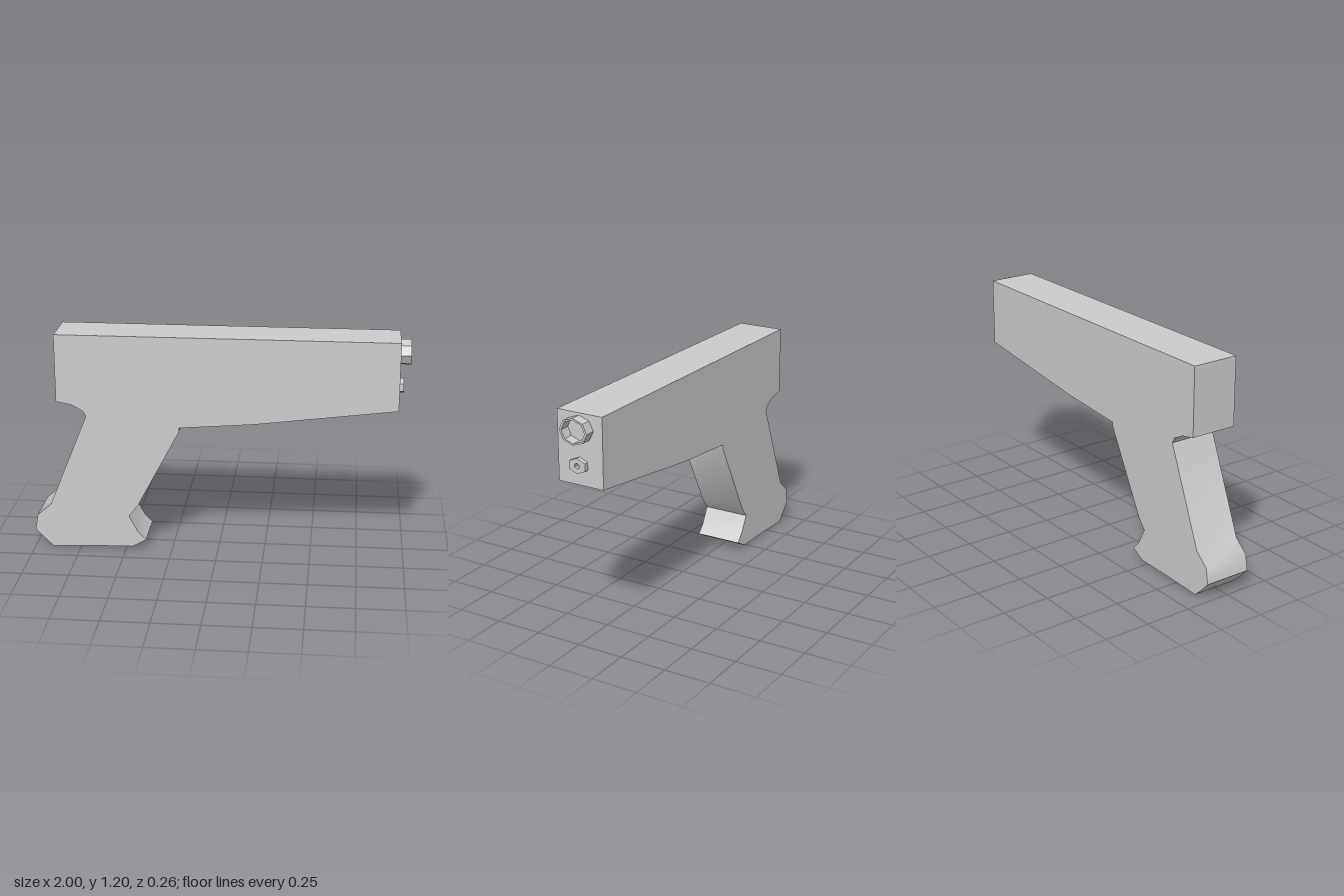
import * as THREE from 'three';
import { toCreasedNormals } from 'three/addons/utils/BufferGeometryUtils.js';

const DEPTH = 0.258;

// Side outline of the frame and grip, clockwise from the top rear corner
const OUTLINE = [
  [-0.86, 1.2], [0.945, 1.2], [0.945, 0.833], [0.19, 0.737], [-0.205, 0.705], [-0.205, 0.683],
  [-0.435, 0.25], [-0.483, 0.19], [-0.435, 0.1], [-0.392, 0.053], [-0.467, 0.012],
  [-0.69, 0.008], [-0.905, 0], [-0.953, 0.045], [-1, 0.096], [-0.985, 0.18], [-0.91, 0.245],
  [-0.702, 0.755], [-0.718, 0.785], [-0.78, 0.817], [-0.86, 0.833],
];

const polygon = (sides, rz, ry) => Array.from({ length: sides }, (_, i) => {
  const a = Math.PI / 2 + (i / sides) * Math.PI * 2;
  return new THREE.Vector2(Math.cos(a) * rz, Math.sin(a) * ry);
});

// Faceted hollow ring standing out of the front end along +x
function makeRing(name, sides, outer, inner, length, y, z, material) {
  const shape = new THREE.Shape(polygon(sides, ...outer));
  shape.holes.push(new THREE.Path(polygon(sides, ...inner)));
  const geometry = new THREE.ExtrudeGeometry(shape, { depth: length, bevelEnabled: false });
  geometry.rotateY(Math.PI / 2);
  const ring = new THREE.Mesh(geometry, material);
  ring.name = name;
  ring.position.set(0.945, y, z);
  return ring;
}

export function createModel() {
  const group = new THREE.Group();
  group.name = 'pistol';
  const material = new THREE.MeshStandardMaterial({ color: 0xcccccc });

  // Slab body with raked grip
  const shape = new THREE.Shape(OUTLINE.map(([x, y]) => new THREE.Vector2(x, y)));
  const slab = new THREE.ExtrudeGeometry(shape, { depth: DEPTH, bevelEnabled: false });
  slab.translate(0, 0, -DEPTH / 2);
  const body = new THREE.Mesh(toCreasedNormals(slab, 0.7), material);
  body.name = 'bodyAndGrip';
  group.add(body);

  // Muzzle and the small guide rod end below it
  group.add(makeRing('muzzle', 8, [0.08, 0.068], [0.067, 0.059], 0.055, 1.12, 0.002, material));
  group.add(makeRing('guideRod', 6, [0.053, 0.04], [0.015, 0.015], 0.024, 0.938, 0.005, material));

  return group;
}
